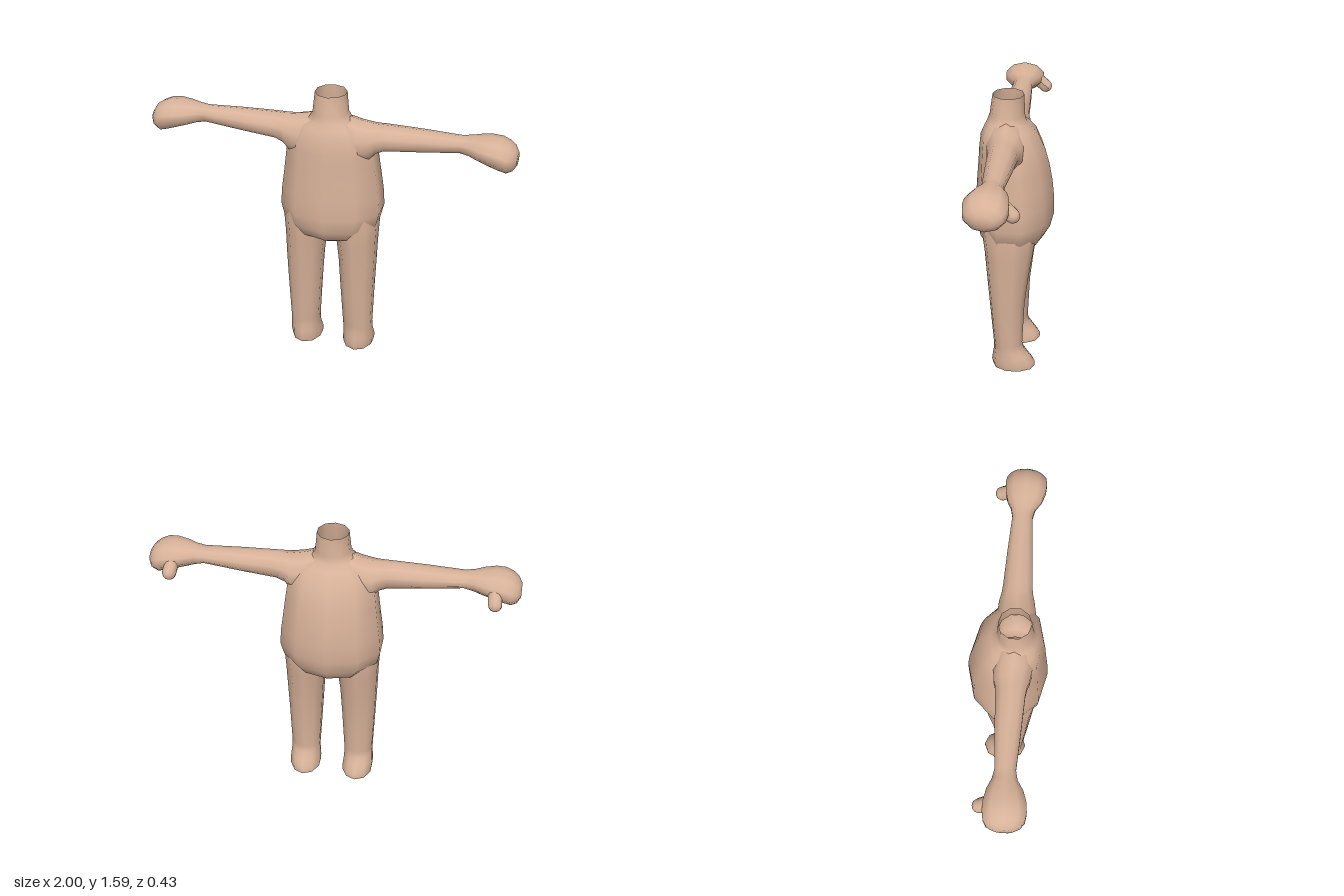
import * as THREE from 'three';

const SIDES = 10;
const WIDE = Math.sin(Math.PI * 0.4); // sideways reach of a ten-sided ring

// Skins a list of rings (arrays of Vector3); ends may be open, 'round' or 'flat'
function loft(rings, startCap, endCap) {
  const pos = [], index = [];
  rings.forEach(r => r.forEach(p => pos.push(p.x, p.y, p.z)));
  for (let i = 0; i < rings.length - 1; i++) {
    for (let j = 0; j < SIDES; j++) {
      const k = (j + 1) % SIDES, a = i * SIDES, b = a + SIDES;
      index.push(a + j, a + k, b + j, a + k, b + k, b + j);
    }
  }
  const cap = (ring, base, kind, flip) => {
    if (!kind) return;
    let first = base;
    if (kind === 'flat') { // own vertices keep the rim sharp
      first = pos.length / 3;
      ring.forEach(p => pos.push(p.x, p.y, p.z));
    }
    const c = ring.reduce((s, p) => s.add(p), new THREE.Vector3()).divideScalar(SIDES);
    const mid = pos.length / 3;
    pos.push(c.x, c.y, c.z);
    for (let j = 0; j < SIDES; j++) {
      const k = (j + 1) % SIDES;
      index.push(mid, first + (flip ? k : j), first + (flip ? j : k));
    }
  };
  cap(rings[0], 0, startCap, true);
  cap(rings[rings.length - 1], (rings.length - 1) * SIDES, endCap, false);
  const g = new THREE.BufferGeometry();
  g.setAttribute('position', new THREE.Float32BufferAttribute(pos, 3));
  g.setIndex(index);
  g.computeVertexNormals();
  return g;
}

const ring = fn => Array.from({ length: SIDES }, (_, j) => fn(j / SIDES * Math.PI * 2));

// Level ring: height, x range, z range
const levelRing = ([y, x0, x1, z0, z1]) => ring(a => new THREE.Vector3(
  (x0 + x1) / 2 + (x1 - x0) / 2 / WIDE * Math.sin(a), y,
  (z0 + z1) / 2 + (z1 - z0) / 2 * Math.cos(a)));

// Upright ring across the arm: x, y range, z range
const armRing = ([x, y0, y1, z0, z1]) => ring(a => new THREE.Vector3(
  x, (y0 + y1) / 2 + (y1 - y0) / 2 * Math.cos(a),
  (z0 + z1) / 2 + (z1 - z0) / 2 / WIDE * Math.sin(a)));

function mirrored(geometry) {
  const g = geometry.clone().scale(-1, 1, 1);
  const ix = g.index.array;
  for (let i = 0; i < ix.length; i += 3) [ix[i], ix[i + 1]] = [ix[i + 1], ix[i]];
  g.computeVertexNormals();
  return g;
}

export function createModel() {
  const model = new THREE.Group();
  model.name = 'headlessBody';
  const skin = new THREE.MeshStandardMaterial({ color: 0xd8b299, side: THREE.DoubleSide });
  skin.name = 'skin';

  const add = (name, geometry) => {
    const mesh = new THREE.Mesh(geometry, skin);
    mesh.name = name;
    model.add(mesh);
  };
  const addPair = (name, geometry) => {
    add('left' + name, geometry);
    add('right' + name, mirrored(geometry));
  };

  // Torso with an open neck: height, half width, z range
  const torso = [
    [0.70, 0.05, -0.03, 0.06], [0.72, 0.12, -0.10, 0.12], [0.76, 0.20, -0.16, 0.18],
    [0.82, 0.258, -0.195, 0.21], [0.90, 0.277, -0.215, 0.218], [1.00, 0.27, -0.215, 0.215],
    [1.10, 0.257, -0.205, 0.208], [1.20, 0.245, -0.187, 0.20], [1.28, 0.235, -0.165, 0.195],
    [1.36, 0.212, -0.13, 0.186], [1.41, 0.165, -0.09, 0.165], [1.44, 0.115, -0.062, 0.15],
    [1.48, 0.092, -0.053, 0.136], [1.59, 0.082, -0.05, 0.12],
  ];
  add('torsoAndNeck', loft(torso.map(([y, w, z0, z1]) => levelRing([y, -w, w, z0, z1])), 'round'));

  // Legs and feet, toes towards -z
  const leg = [
    [0.00, 0.07, 0.237, -0.13, 0.108], [0.03, 0.07, 0.24, -0.13, 0.115],
    [0.07, 0.074, 0.238, -0.098, 0.11], [0.11, 0.076, 0.235, -0.068, 0.103],
    [0.15, 0.074, 0.235, -0.058, 0.104], [0.40, 0.06, 0.245, -0.07, 0.125],
    [0.58, 0.05, 0.252, -0.092, 0.14], [0.72, 0.035, 0.256, -0.115, 0.152],
    [0.82, 0.02, 0.262, -0.13, 0.165], [0.92, 0.02, 0.25, -0.13, 0.16],
  ];
  addPair('LegAndFoot', loft(leg.map(levelRing), 'flat'));

  // Arms ending in mitten hands
  const arm = [
    [0.02, 1.20, 1.465, -0.06, 0.14], [0.10, 1.19, 1.462, -0.065, 0.14],
    [0.16, 1.20, 1.444, -0.065, 0.135], [0.22, 1.225, 1.433, -0.06, 0.125],
    [0.255, 1.265, 1.43, -0.05, 0.115], [0.30, 1.285, 1.43, -0.045, 0.108],
    [0.50, 1.305, 1.426, -0.035, 0.098], [0.70, 1.328, 1.418, -0.022, 0.086],
    [0.75, 1.318, 1.425, -0.032, 0.097], [0.80, 1.305, 1.433, -0.055, 0.128],
    [0.86, 1.287, 1.44, -0.068, 0.148], [0.91, 1.27, 1.437, -0.07, 0.152],
    [0.95, 1.258, 1.42, -0.063, 0.145], [0.98, 1.27, 1.398, -0.045, 0.122],
    [1.00, 1.30, 1.365, -0.005, 0.085],
  ];
  addPair('ArmAndHand', loft(arm.map(armRing), 'round', 'round'));

  // Thumbs hang forward and down
  const thumbDirection = new THREE.Vector3(0.01, -0.055, -0.06).normalize();
  const thumb = new THREE.CapsuleGeometry(0.038, 0.08, 4, 10);
  thumb.applyQuaternion(new THREE.Quaternion().setFromUnitVectors(new THREE.Vector3(0, 1, 0), thumbDirection));
  thumb.translate(0.866, 1.337, -0.056);
  addPair('Thumb', thumb);

  return model;
}
